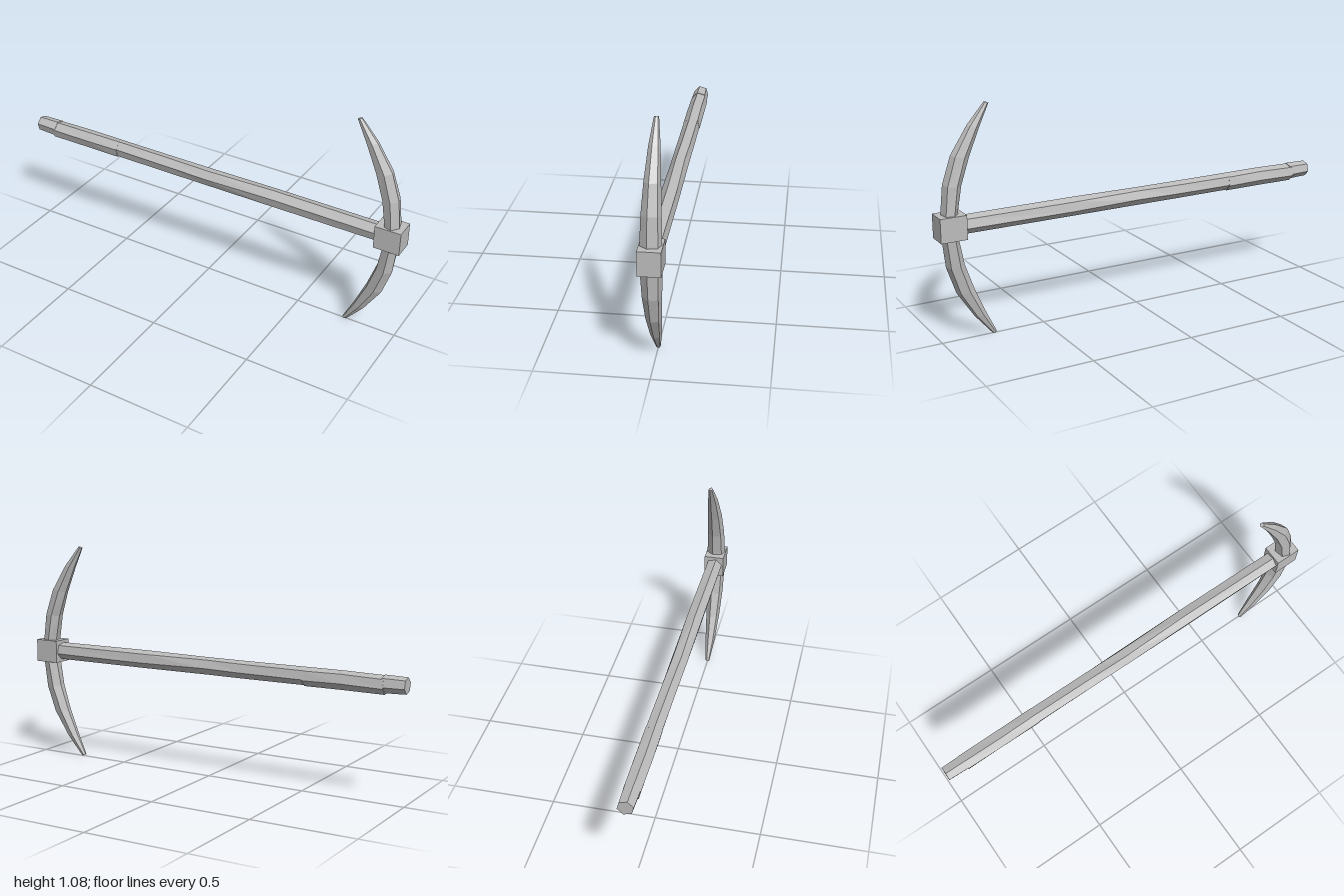
import * as THREE from 'three';

const SIDES = 6;
const MID_Y = 0.542;

// Skins a list of closed rings with flat ends.
function loft(rings) {
  const pos = [];
  const tri = (...pts) => pts.forEach((p) => pos.push(p.x, p.y, p.z));
  for (let i = 0; i < rings.length - 1; i++) {
    for (let k = 0; k < SIDES; k++) {
      const n = (k + 1) % SIDES;
      const a = rings[i][k], b = rings[i][n], c = rings[i + 1][k], d = rings[i + 1][n];
      tri(a, c, b);
      tri(b, c, d);
    }
  }
  const first = rings[0], last = rings[rings.length - 1];
  for (let k = 1; k < SIDES - 1; k++) {
    tri(first[0], first[k], first[k + 1]);
    tri(last[0], last[k + 1], last[k]);
  }
  const geo = new THREE.BufferGeometry();
  geo.setAttribute('position', new THREE.Float32BufferAttribute(pos, 3));
  geo.computeVertexNormals();
  return geo;
}

// Six corners of a hexagon turned by 15 degrees plus an optional twist.
function hexRing(place, twist = 0) {
  return Array.from({ length: SIDES }, (_, k) => {
    const a = Math.PI / 12 + twist + (k * Math.PI) / 3;
    return place(Math.cos(a), Math.sin(a));
  });
}

export function createModel() {
  const group = new THREE.Group();
  const grey = new THREE.MeshStandardMaterial({ color: 0xbcbcbc, flatShading: true });
  grey.name = 'plain grey';
  const add = (name, geo) => {
    const mesh = new THREE.Mesh(geo, grey);
    mesh.name = name;
    group.add(mesh);
    return mesh;
  };

  // Handle pieces: each section is [x, radius, centre y, twist]
  const shaft = (sections) => loft(sections.map(([x, r, y, twist]) =>
    hexRing((c, s) => new THREE.Vector3(x, y + r * s, r * c), twist)));

  add('handle', shaft([
    [-0.52, 0.042, 0.544, 0.02], [-0.2, 0.042, 0.543, -0.02], [0, 0.042, 0.543, -0.1],
    [0.35, 0.044, 0.544, 0.05], [0.9, 0.043, 0.543, 0],
  ]));
  add('handleGrip', shaft([
    [-0.9, 0.043, 0.541, 0.02], [-0.7, 0.044, 0.543, -0.03], [-0.51, 0.044, 0.542, 0.03],
  ]));
  add('handleEnd', shaft([[-1, 0.038, 0.547, 0], [-0.89, 0.041, 0.546, 0]]));

  // Curved head: [height above middle, inner x, outer x, outer drop, half width]
  const half = [
    [0.535, 0.738, 0.757, -0.008, 0.01],
    [0.435, 0.787, 0.84, -0.012, 0.024],
    [0.31, 0.84, 0.92, -0.012, 0.034],
    [0.185, 0.882, 0.962, -0.008, 0.041],
    [0.062, 0.904, 0.975, -0.002, 0.045],
  ];
  const ring = ([h, inner, outer, drop, w], side) => hexRing((c, s) => {
    const u = s / 0.966;
    return new THREE.Vector3(
      (inner + outer) / 2 + ((outer - inner) / 2) * u,
      MID_Y + side * (h - (drop / 2) * u),
      (w * c) / 0.966);
  });
  add('pickHead', loft([
    ...half.map((s) => ring(s, 1)),
    ...half.slice().reverse().map((s) => ring(s, -1)),
  ]));

  // Block joining head and handle
  add('headBlock', new THREE.BoxGeometry(0.124, 0.112, 0.1)).position.set(0.938, MID_Y, 0);

  return group;
}
